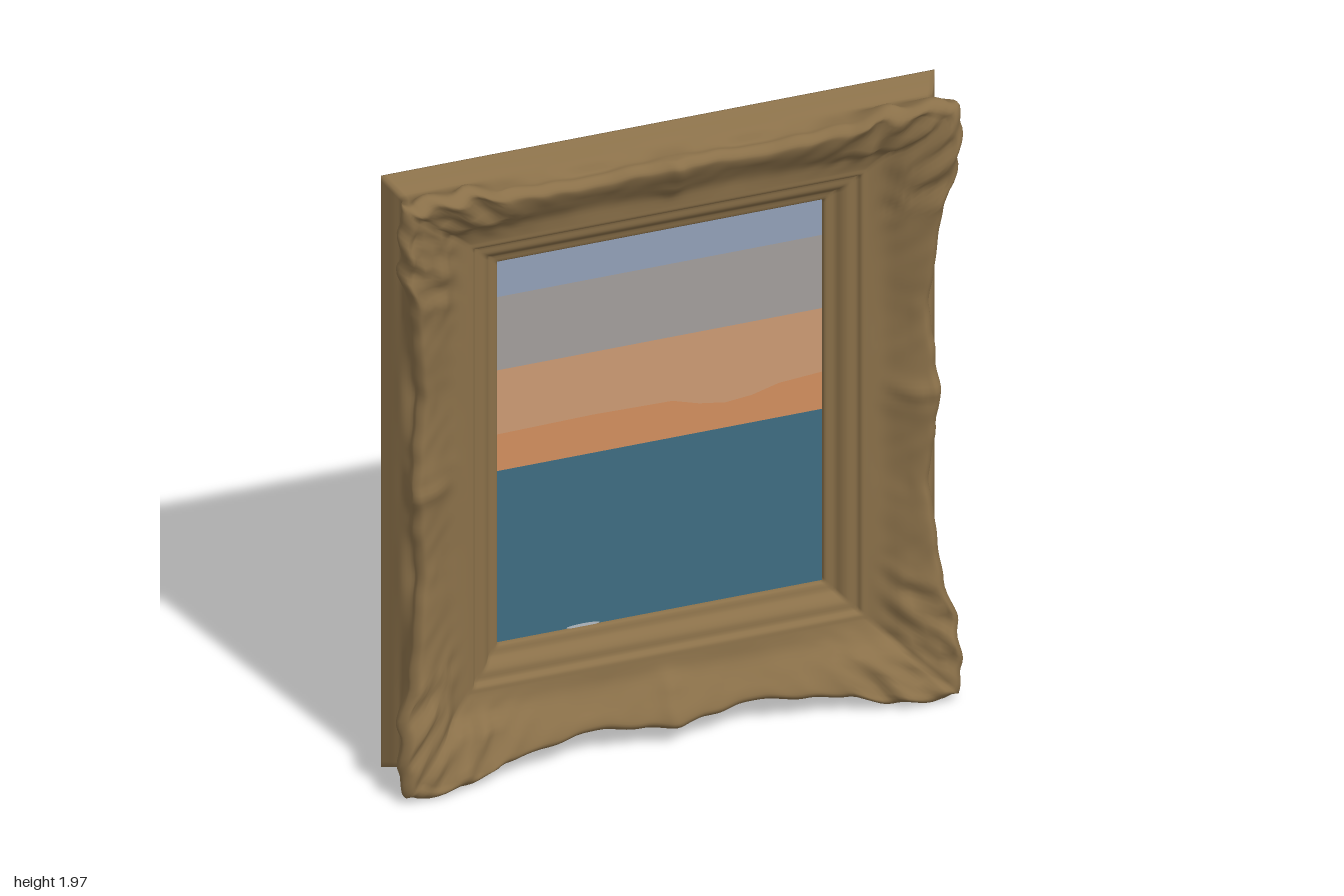
import * as THREE from 'three';

const A = 0.49, B = 0.625, CY = 1.005;      // half size of the opening, height of its centre
const SIDE = 110, STEPS = 56;               // samples along one side and across the moulding

const mat = (name, color, side = THREE.FrontSide) => {
  const m = new THREE.MeshStandardMaterial({ color, side });
  m.name = name;
  return m;
};

// smooth interpolation through [position, value] pairs
function ease(table, p) {
  for (let i = 1; i < table.length; i++) {
    const [p0, v0] = table[i - 1], [p1, v1] = table[i];
    if (p <= p1) return v0 + (v1 - v0) * THREE.MathUtils.smoothstep(p, p0, p1);
  }
  return table[table.length - 1][1];
}
const step = THREE.MathUtils.smoothstep;

// crest height and outer reach, from the middle of a side (0) to the corner (1)
const CREST = [[0, 0.05], [0.12, 0.043], [0.3, 0.032], [0.55, 0.053], [0.75, 0.078], [0.87, 0.1], [1, 0.1]];
const REACH = [[0, 0.308], [0.12, 0.3], [0.32, 0.284], [0.5, 0.3], [0.65, 0.315], [0.76, 0.352], [1, 0.36]];

// cross-section of the moulding, as offset from the opening and depth
function section(p, pos) {
  const corner = step(p, 0.6, 0.85);
  const c = ease(CREST, p) + 0.005 * corner * Math.sin(pos * 47);
  const r = ease(REACH, p) + 0.005 * Math.sin(pos * 52) * (0.25 + corner) - 0.018 * step(p, 0.94, 1);
  const pts = [
    [0, -0.1], [0.004, -0.085], [0.03, -0.077], [0.045, -0.058], [0.06, -0.048], [0.085, -0.044],
    [0.095, -0.03], [0.115, -0.027], [0.16, -0.022 + 0.2 * (c - 0.03)], [0.21, 0.55 * c - 0.012],
    [r - 0.045, c - 0.006], [r - 0.022, c], [r - 0.003, c - 0.02], [r - 0.004, c - 0.042],
    [0.308, -0.03], [0.322, -0.06], [0.335, -0.09], [0.343, -0.107]
  ].map(([d, z]) => new THREE.Vector3(d, z, 0));
  return new THREE.CatmullRomCurve3(pts).getPoints(STEPS);
}

// carved leaves and scrolls at the corners and the middle of each side
function relief(x, y, d, p) {
  const band = step(d, 0.13, 0.2) * (1 - step(d, 0.3, 0.345));
  const corner = step(p, 0.58, 0.82), mid = Math.exp(-((p / 0.07) ** 2));
  const leaf = Math.sin(36 * x + 2.4 * Math.sin(19 * y)) * Math.sin(33 * y + 2 * Math.sin(21 * x));
  const vein = Math.sin(74 * x + 31 * y) * Math.sin(68 * y - 22 * x);
  return band * (corner * (0.011 * leaf + 0.004 * vein) + mid * (0.012 + 0.006 * leaf) + 0.0015 * leaf);
}

function mouldingGeometry() {
  const pos = [], index = [], rows = 4 * SIDE, cols = STEPS + 3;
  for (let s = 0; s < 4; s++) {
    for (let i = 0; i < SIDE; i++) {
      const u = -1 + 2 * i / SIDE, p = Math.abs(u);
      const pts = section(p, p * (s % 2 ? 0.85 : 1));
      const put = (d, z, carve) => {
        const a = A + d, b = B + d;
        // right, top, left, bottom, running anticlockwise
        const [x, y] = [[a, u * b], [-u * a, b], [-a, -u * b], [u * a, -b]][s];
        pos.push(x, y + CY, z + (carve ? relief(x, y, d, p) : 0));
      };
      pts.forEach((v, j) => put(v.x, v.y, j < STEPS * 0.72));
      put(0.343, -0.11, false);               // back rim
      put(0.21, -0.112, false);               // inner edge of the back border
    }
  }
  for (let i = 0; i < rows; i++) {
    const n = (i + 1) % rows;
    for (let j = 0; j < cols - 1; j++) {
      const a = i * cols + j, d = n * cols + j;
      index.push(a, a + 1, d + 1, a, d + 1, d);
    }
  }
  const g = new THREE.BufferGeometry();
  g.setAttribute('position', new THREE.Float32BufferAttribute(pos, 3));
  g.setIndex(index);
  g.computeVertexNormals();
  return g;
}

export function createModel() {
  const group = new THREE.Group();
  group.name = 'framedPicture';
  const bronze = mat('antique bronze', 0x8a7049, THREE.DoubleSide);
  const add = (name, geo, material, parent = group) => {
    const m = new THREE.Mesh(geo, material);
    m.name = name;
    parent.add(m);
    return m;
  };

  add('carvedFrame', mouldingGeometry(), bronze);

  // panel closing the back
  const back = add('backPanel', new THREE.PlaneGeometry(1.4, 1.67), bronze);
  back.rotation.y = Math.PI;
  back.position.set(0, CY, -0.112);

  // seascape built from flat colour bands
  const picture = new THREE.Group();
  picture.name = 'picture';
  group.add(picture);
  const W = 0.492, Z = -0.097;
  const haze = [[-W, 1.06], [-0.2, 1.065], [0.04, 1.06], [0.12, 1.035], [0.2, 1.022], [0.28, 1.03], [0.36, 1.052], [W, 1.062]];
  const flat = y => [[-W, y], [W, y]];
  const bands = [
    ['upperSky', flat(1.51), flat(1.632), 0x92a0b8],
    ['middleSky', flat(1.27), flat(1.51), 0xa39e9c],
    ['lowerSky', haze, flat(1.27), 0xcc9a74],
    ['horizonGlow', flat(0.94), haze, 0xd28f5e],
    ['sea', flat(0.378), flat(0.94), 0x3e6d82]
  ];
  for (const [name, low, high, color] of bands) {
    const outline = [...low, ...[...high].reverse()].map(([x, y]) => new THREE.Vector2(x, y));
    add(name, new THREE.ShapeGeometry(new THREE.Shape(outline)), mat(name + ' colour', color), picture).position.z = Z;
  }

  // pale fleck of foam at the lower edge
  const foam = add('foam', new THREE.CircleGeometry(0.05, 16), mat('pale foam', 0xb4bcc2), picture);
  foam.scale.y = 0.12;
  foam.position.set(-0.23, 0.383, Z + 0.002);
  return group;
}
